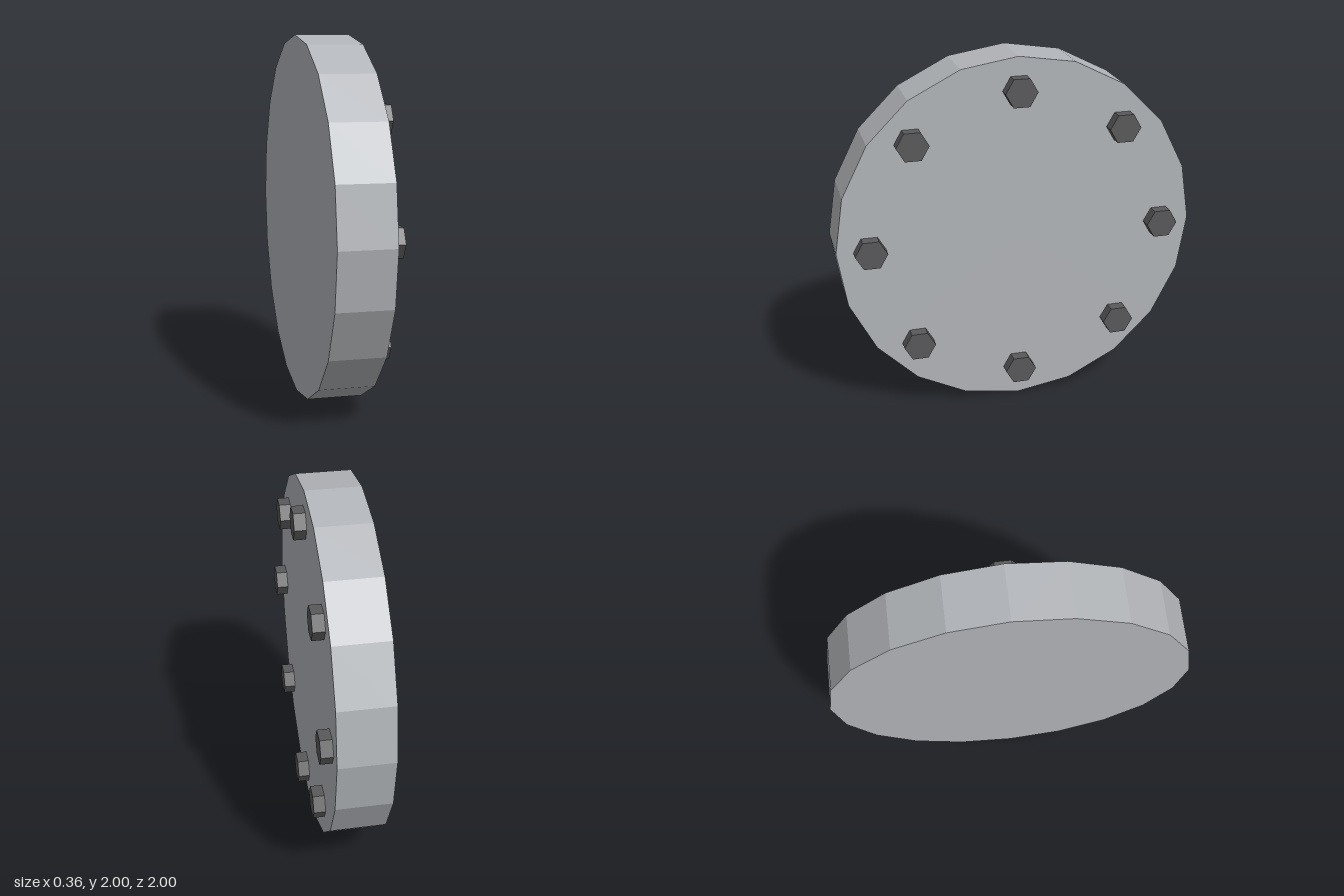
import * as THREE from 'three';

export function createModel() {
  const model = new THREE.Group();
  model.name = 'blindFlange';

  const steel = new THREE.MeshStandardMaterial({ color: 0xb2b5b9, flatShading: true });
  steel.name = 'light steel';
  const darkSteel = new THREE.MeshStandardMaterial({ color: 0x59595b, flatShading: true });
  darkSteel.name = 'dark steel';

  // Faceted cylinder lying along x, from x0 to x1
  function addDisc(name, radius, sides, x0, x1, y, z, material) {
    const geometry = new THREE.CylinderGeometry(radius, radius, x1 - x0, sides);
    geometry.rotateZ(-Math.PI / 2);
    const mesh = new THREE.Mesh(geometry, material);
    mesh.name = name;
    mesh.position.set((x0 + x1) / 2, y, z);
    model.add(mesh);
  }

  // Round plate
  const faceX = 0.118;
  addDisc('plate', 1, 20, -0.182, faceX, 1, 0, steel);

  // Ring of hexagonal bolt heads on the +x face
  const boltCount = 8;
  const ringRadius = 0.82;
  for (let i = 0; i < boltCount; i++) {
    const angle = (i / boltCount) * Math.PI * 2;
    addDisc(`bolt${i + 1}`, 0.088, 6, faceX - 0.01, 0.182,
      1 + ringRadius * Math.sin(angle), ringRadius * Math.cos(angle), darkSteel);
  }

  return model;
}
